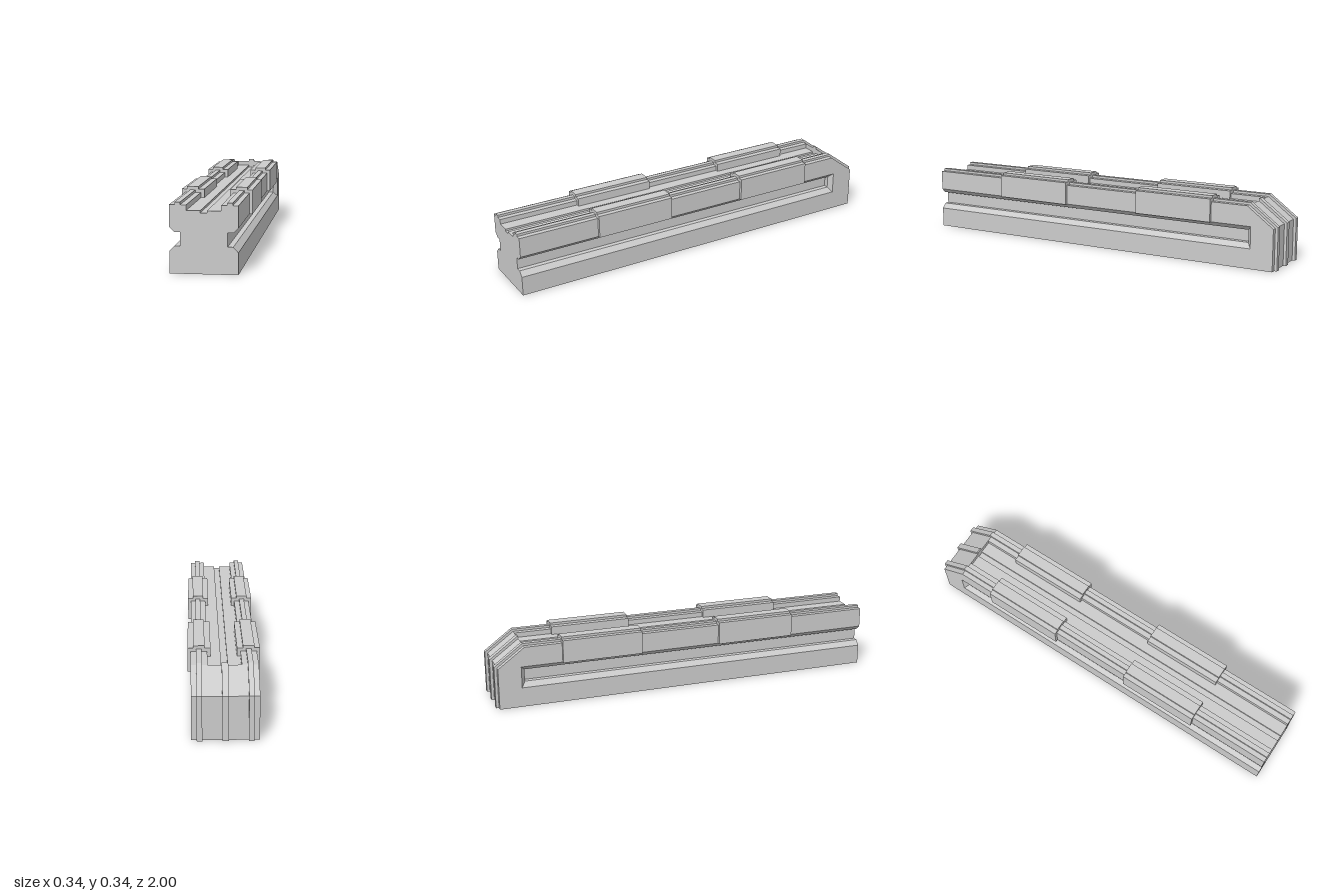
import * as THREE from 'three';

const material = new THREE.MeshStandardMaterial({ color: 0xcccccc, flatShading: true });

// Right half of the body's cross-section, mirrored to a closed counter-clockwise loop
function section(z, { slot, lip, lo, hi, top, floor, groove }) {
  const half = [
    [0.155, 0], [0.155, 0.1], [lip, lo], [slot, lo], [slot, hi], [lip, hi], [0.155, 0.21],
    [0.155, top], [0.078, top], [0.078, floor], [0.015, floor], [0.015, groove],
  ];
  const loop = [...half, ...half.map(([x, y]) => [-x, y]).reverse()];
  return loop.map(([x, y]) => new THREE.Vector3(x, y, z));
}

// Skin neighbouring sections (front to back) and close both ends
function loft(sections) {
  const pos = [];
  const tri = (a, b, c) => {
    if (new THREE.Triangle(a, b, c).getArea() > 1e-9) for (const p of [a, b, c]) pos.push(p.x, p.y, p.z);
  };
  for (let s = 0; s < sections.length - 1; s++) {
    const f = sections[s], r = sections[s + 1];
    f.forEach((a, i) => {
      const j = (i + 1) % f.length;
      tri(a, r[i], f[j]);
      tri(f[j], r[i], r[j]);
    });
  }
  const first = sections[0], last = sections[sections.length - 1];
  const flat = first.map((p) => new THREE.Vector2(p.x, p.y));
  for (const [a, b, c] of THREE.ShapeUtils.triangulateShape(flat, [])) tri(first[a], first[b], first[c]);
  // the rear end is a plain rectangle
  const n = last.length, [p, q, r, t] = [last[0], last[7], last[n - 8], last[n - 1]];
  tri(p, r, q);
  tri(p, t, r);
  const geo = new THREE.BufferGeometry();
  geo.setAttribute('position', new THREE.Float32BufferAttribute(pos, 3));
  geo.computeVertexNormals();
  return geo;
}

function extrude(points, depth) {
  const shape = new THREE.Shape(points.map(([x, y]) => new THREE.Vector2(x, y)));
  return new THREE.ExtrudeGeometry(shape, { depth, bevelEnabled: false });
}

export function createModel() {
  const group = new THREE.Group();
  const add = (name, geo) => {
    const mesh = new THREE.Mesh(geo, material);
    mesh.name = name;
    group.add(mesh);
    return mesh;
  };

  // Body: side channels and top trough stop short of the sloped rear end
  const channel = { slot: 0.107, lip: 0.132, lo: 0.125, hi: 0.188, top: 0.31, floor: 0.285, groove: 0.275 };
  const closed = { ...channel, slot: 0.132, floor: 0.31, groove: 0.31 };
  const solid = (y) => ({ slot: 0.155, lip: 0.155, lo: 0.1, hi: 0.21, top: y, floor: y, groove: y });
  add('body', loft([
    section(1, channel),
    section(-0.85, channel),
    section(-0.85, closed),
    section(-0.87, solid(0.295)),
    section(-0.986, solid(0.21)),
  ]));

  // Ribs follow the top, the slope and the rear face
  const rib = (name, x, width, zStart) => {
    const geo = extrude([
      [zStart, 0.31], [zStart, 0.322], [-0.855, 0.322], [-1, 0.215],
      [-1, 0], [-0.986, 0], [-0.986, 0.21], [-0.85, 0.31],
    ], width);
    geo.rotateY(-Math.PI / 2); // profile's x becomes z
    geo.translate(x + width / 2, 0, 0);
    add(name, geo);
  };
  rib('leftRib', 0.1175, 0.025, 1);
  rib('rightRib', -0.1175, 0.025, 1);
  rib('centreRib', 0, 0.03, -0.849);

  // Raised sleeves wrapped over the two top shoulders
  const sleeve = [
    [0.062, 0.285], [0.062, 0.326], [0.09, 0.326], [0.09, 0.338], [0.145, 0.338], [0.145, 0.326],
    [0.17, 0.326], [0.17, 0.21], [0.155, 0.21], [0.155, 0.285],
  ];
  for (const side of [1, -1]) {
    for (const [end, z] of [['front', 0.172], ['rear', -0.66]]) {
      const mesh = add(`${end}${side > 0 ? 'Left' : 'Right'}Sleeve`,
        extrude(sleeve.map(([x, y]) => [x * side, y]), 0.412));
      mesh.position.z = z;
    }
  }
  return group;
}
